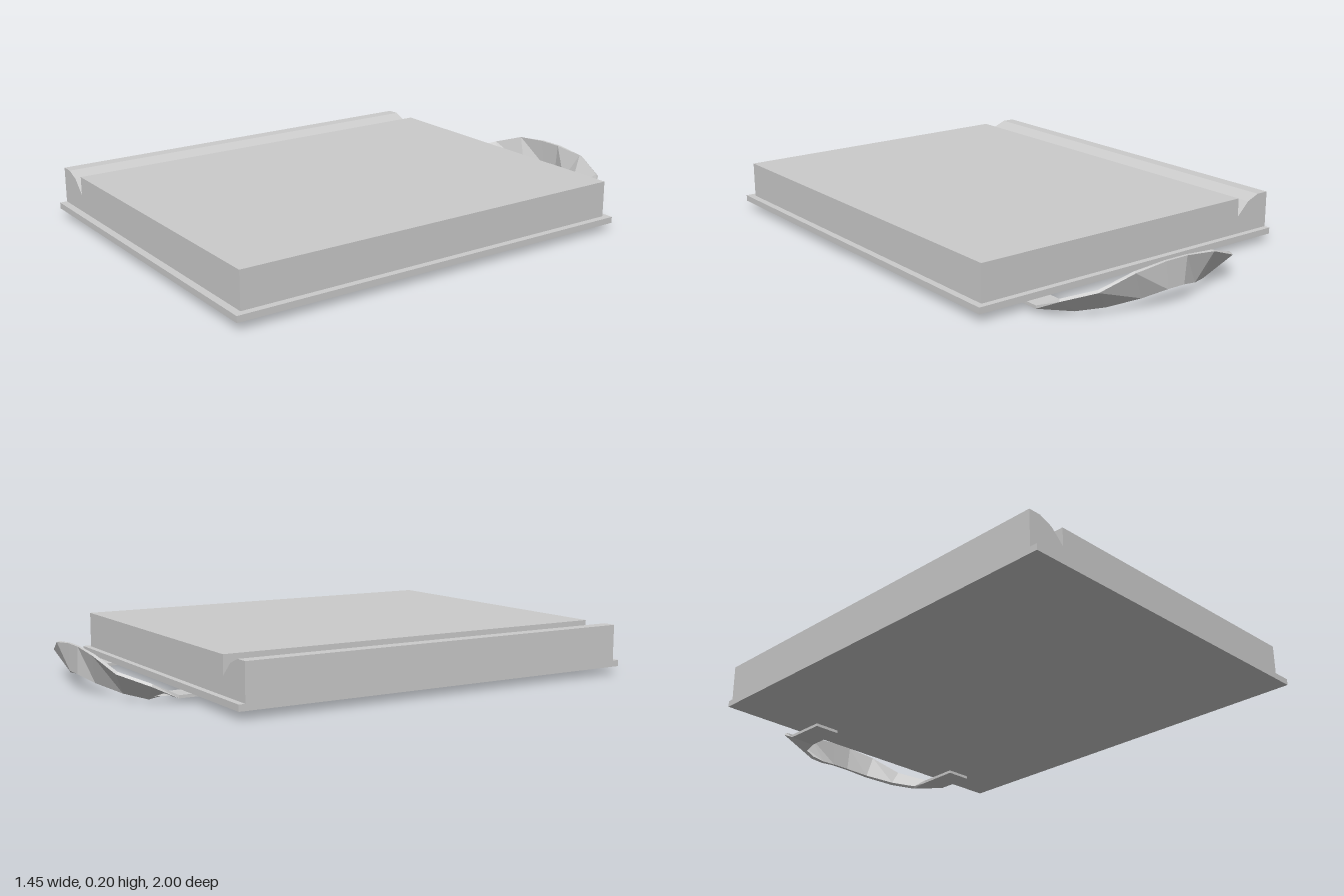
import * as THREE from 'three';

const material = new THREE.MeshStandardMaterial({ color: 0xcccccc, flatShading: true });

function addMesh(group, name, geometry) {
  const mesh = new THREE.Mesh(geometry, material);
  mesh.name = name;
  group.add(mesh);
  return mesh;
}

// Twisting strap: flat under the board at its ends, upright at the middle of the loop.
function strapGeometry() {
  const midX = 0.08, thickness = 0.012;
  // [outer edge, inner edge] from one end to the middle, x measured from the strap's centre
  const half = [
    [[0.44, 0.018, -0.60], [0.33, 0.018, -0.60]],
    [[0.44, 0.018, -0.77], [0.33, 0.014, -0.77]],
    [[0.415, 0.065, -0.865], [0.32, 0.0, -0.835]],
    [[0.325, 0.105, -0.962], [0.235, 0.014, -0.90]],
    [[0.19, 0.155, -0.996], [0.13, 0.042, -0.965]],
    [[0.05, 0.17, -1.0], [0.04, 0.065, -1.0]],
  ];
  const mirrored = half.slice().reverse().map((s) => s.map(([x, y, z]) => [-x, y, z]));
  const sections = [...half, ...mirrored].map((s) =>
    s.map(([x, y, z]) => new THREE.Vector3(x + midX, y, z)));

  const positions = [], index = [];
  const last = sections.length - 1;
  sections.forEach(([outer, inner], s) => {
    const centre = (k) => sections[k][0].clone().add(sections[k][1]);
    const along = centre(Math.min(s + 1, last)).sub(centre(Math.max(s - 1, 0)));
    const offset = outer.clone().sub(inner).cross(along).setLength(thickness);
    const ring = [outer, inner, inner.clone().add(offset), outer.clone().add(offset)];
    ring.forEach((p) => positions.push(p.x, p.y, p.z));
    if (s === last) return;
    for (let k = 0; k < 4; k++) {
      const a = s * 4 + k, b = s * 4 + (k + 1) % 4;
      index.push(a, b, b + 4, a, b + 4, a + 4);
    }
  });
  // End caps
  const e = last * 4;
  index.push(0, 2, 1, 0, 3, 2, e, e + 1, e + 2, e, e + 2, e + 3);

  const indexed = new THREE.BufferGeometry();
  indexed.setAttribute('position', new THREE.Float32BufferAttribute(positions, 3));
  indexed.setIndex(index);
  const geometry = indexed.toNonIndexed();
  geometry.computeVertexNormals();
  return geometry;
}

export function createModel() {
  const group = new THREE.Group();
  group.name = 'strappedPad';

  // Thin backing board
  addMesh(group, 'backingBoard', new THREE.BoxGeometry(1.445, 0.025, 1.72))
    .position.set(0, 0.0425, 0.14);

  // Thick block with a curved groove beside its spine
  const profile = new THREE.Shape([
    [-0.7225, 0.055], [0.695, 0.055], [0.695, 0.2], [-0.56, 0.2],
    [-0.56, 0.125], [-0.615, 0.178], [-0.67, 0.2], [-0.7225, 0.2],
  ].map(([x, y]) => new THREE.Vector2(x, y)));
  addMesh(group, 'groovedBlock',
    new THREE.ExtrudeGeometry(profile, { depth: 1.665, bevelEnabled: false }))
    .position.z = -0.695;

  // Carrying strap behind the board
  addMesh(group, 'carryStrap', strapGeometry());

  return group;
}
